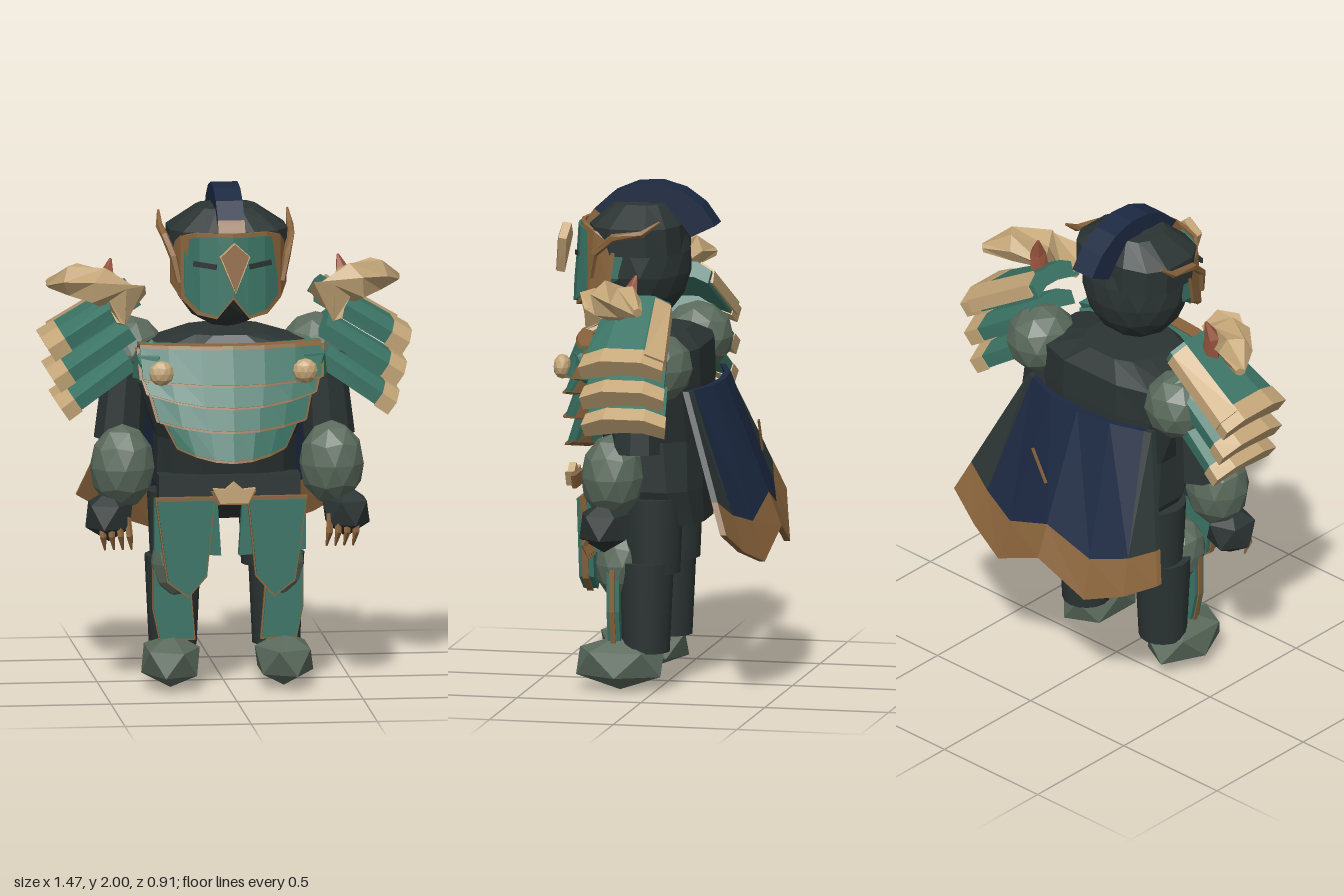
import * as THREE from 'three';

const mat = (name, color) => Object.assign(new THREE.MeshStandardMaterial({ color }), { name });

// Closed skin through rings of [x,y,z] points, capped at both ends, wound outward
function loft(rings) {
  const tris = [], n = rings[0].length;
  for (let i = 0; i + 1 < rings.length; i++) for (let j = 0; j < n; j++) {
    const k = (j + 1) % n, a = rings[i], b = rings[i + 1];
    tris.push([a[j], a[k], b[k]], [a[j], b[k], b[j]]);
  }
  const first = rings[0], last = rings[rings.length - 1];
  for (let j = 1; j + 1 < n; j++) tris.push([first[0], first[j + 1], first[j]], [last[0], last[j], last[j + 1]]);
  let volume = 0;
  for (const [a, b, c] of tris) volume += new THREE.Vector3(...a).dot(new THREE.Vector3(...b).cross(new THREE.Vector3(...c)));
  if (volume < 0) tris.forEach(t => t.reverse());
  const g = new THREE.BufferGeometry();
  g.setAttribute('position', new THREE.Float32BufferAttribute(tris.flat(2), 3));
  return g;
}

// Sheet from stations [xTop,yTop,zTop, xBottom,yBottom,zBottom]
const sheet = (stations, t) => loft(stations.map(([a, b, c, d, e, f]) => [[a, b, c], [d, e, f], [d, e, f - t], [a, b, c - t]]));
// Extends half a row of stations, starting at x = 0, to the other side
const sym = h => [...h.slice(1).reverse().map(([a, b, c, d, e, f]) => [-a, b, c, -d, e, f]), ...h];

// Horizontal ring with rounded corners
const ring = (y, rx, z0, z1, n = 12, p = 0.7) => Array.from({ length: n }, (_, i) => {
  const a = (i + 0.5) / n * Math.PI * 2, f = v => Math.sign(v) * Math.abs(v) ** p;
  return [rx * f(Math.cos(a)), y, (z0 + z1) / 2 + (z1 - z0) / 2 * f(Math.sin(a))];
});

// Tapered horn along points [x,y,z,radius]
function horn(pts, n = 5) {
  const v = pts.map(p => new THREE.Vector3(p[0], p[1], p[2]));
  return loft(v.map((p, i) => {
    const t = v[Math.min(i + 1, v.length - 1)].clone().sub(v[Math.max(i - 1, 0)]).normalize();
    const q = new THREE.Quaternion().setFromUnitVectors(new THREE.Vector3(0, 0, 1), t);
    return Array.from({ length: n }, (_, j) => {
      const a = j / n * Math.PI * 2, r = pts[i][3];
      return new THREE.Vector3(Math.cos(a) * r, Math.sin(a) * r, 0).applyQuaternion(q).add(p).toArray();
    });
  }));
}

// Faceted ball with one corner pointing straight down
const ball = (r, c, detail) => new THREE.IcosahedronGeometry(1, detail).rotateZ(0.5536).scale(...r).translate(...c);
const plate = (pts, z, depth) => new THREE.ExtrudeGeometry(
  new THREE.Shape(pts.map(p => new THREE.Vector2(...p))), { depth, bevelEnabled: false }).translate(0, 0, z);

export function createModel() {
  const model = new THREE.Group();
  model.name = 'armouredWarrior';
  const teal = mat('teal armour', 0x3b7465), dark = mat('dark cloth', 0x2b3433), stone = mat('grey green', 0x5a6a5c);
  const bronze = mat('bronze trim', 0x8a643c), bone = mat('bone', 0xc4a678), navy = mat('navy', 0x1c2942), red = mat('rust red', 0x96523c);

  const add = (name, geo, material, smooth = false) => {
    const g = geo.index && !smooth ? geo.toNonIndexed() : geo;
    if (!smooth) g.computeVertexNormals();
    const mesh = new THREE.Mesh(g, material);
    mesh.name = name;
    model.add(mesh);
  };
  // Adds a part at +x and its mirror image at -x
  const pair = (name, geo, material, smooth = false) => {
    const g = geo.index ? geo.toNonIndexed() : geo, m = g.clone().scale(-1, 1, 1);
    for (const key of Object.keys(m.attributes)) {
      const at = m.attributes[key], s = at.itemSize;
      for (let i = 0; i < at.array.length; i += 3 * s) for (let k = 0; k < s; k++) {
        const u = i + s + k, w = i + 2 * s + k, h = at.array[u];
        at.array[u] = at.array[w];
        at.array[w] = h;
      }
    }
    add(name + 'Left', g, material, smooth);
    add(name + 'Right', m, material, smooth);
  };
  // Plate with a slightly larger trim plate inside it
  const trimmedPair = (name, pts, z, depth, grow) => {
    const cx = pts.reduce((s, p) => s + p[0], 0) / pts.length, cy = pts.reduce((s, p) => s + p[1], 0) / pts.length;
    pair(name + 'Trim', plate(pts.map(([x, y]) => [cx + (x - cx) * grow, cy + (y - cy) * grow]), z + depth * 0.35, depth * 0.4), bronze);
    pair(name, plate(pts, z, depth), teal);
  };

  // Torso and hips
  add('torso', loft([ring(0.66, 0.22, -0.165, 0.08), ring(0.8, 0.28, -0.165, 0.2), ring(1.0, 0.28, -0.165, 0.25),
    ring(1.22, 0.36, -0.165, 0.29), ring(1.36, 0.36, -0.16, 0.28), ring(1.42, 0.17, -0.09, 0.24)]), dark);

  // Layered breastplate: top, bottom, half width, centre dip, taper
  [[1.39, 1.26, 0.36, 0.02, 0.02], [1.3, 1.2, 0.355, 0.05, 0.08], [1.22, 1.09, 0.32, 0.035, 0.1], [1.12, 0.98, 0.28, 0.045, 0.25]].forEach(([y1, y0, w, dip, taper], i) => {
    const band = (a, b, dz, grow = 1) => sym([0, 0.35, 0.7, 1].map(u => {
      const low = y0 - dip * (1 - u * u), z = 0.405 - 0.075 * u * u + dz, d = y1 - low, x = u * w * grow;
      return [x * (1 - taper * a), y1 - d * a, z - 0.06 * (1 - a), x * (1 - taper * b), y1 - d * b, z - 0.06 * (1 - b)];
    }));
    add('breastBand', sheet(band(0, 0.95, 0), 0.1), teal);
    add('breastRim', sheet(band(0.95, 1, 0.008), 0.1), bronze);
    add('breastSideTrim', sheet(band(0.1, 1, -0.02, 1.035), 0.04), bronze);
    if (i === 0) add('collarRim', sheet(band(-0.04, 0.06, 0.006), 0.06), bronze);
  });
  pair('chestStud', ball([0.05, 0.05, 0.035], [0.285, 1.295, 0.365], 1), bone);
  pair('collarKnob', ball([0.085, 0.105, 0.095], [0.31, 1.305, 0.235], 0), teal);

  // Head, helmet and crest
  add('head', ball([0.225, 0.25, 0.2], [0, 1.685, 0.11], 2), dark);
  add('helmet', loft([ring(1.73, 0.235, -0.075, 0.3), ring(1.84, 0.24, -0.07, 0.3), ring(1.92, 0.12, 0, 0.21)]), dark);
  const arc = (d0, d1) => loft(Array.from({ length: 7 }, (_, i) => {
    const a = THREE.MathUtils.degToRad(d0 + (d1 - d0) * i / 6);
    return [[-0.053, 0.29], [0.053, 0.29], [0.053, 0.18], [-0.053, 0.18]].map(([x, r]) => [x, 1.71 + r * Math.sin(a), 0.06 + r * Math.cos(a)]);
  }));
  add('crest', arc(38, 154), navy);
  add('crestFoot', arc(23, 38), bronze);

  // Face mask with frame, eyes, nose guard and cheek hooks
  const face = [[0, 1.83, 1.6, 0.38], [0.06, 1.83, 1.52, 0.37], [0.13, 1.83, 1.535, 0.345], [0.185, 1.81, 1.59, 0.29], [0.215, 1.76, 1.64, 0.21]];
  const mask = (gx, gy, dz) => sym(face.map(([x, t, b, z]) => [x * gx, t + gy, z + dz - 0.02, x * gx, b - gy, z + dz]));
  add('maskFrame', sheet(mask(1.07, 0.014, -0.012), 0.016), bronze);
  add('mask', sheet(mask(1, 0, 0), 0.06), teal);
  pair('eyeSlit', new THREE.BoxGeometry(0.095, 0.02, 0.009).rotateZ(0.12).rotateY(0.34).translate(0.11, 1.72, 0.343), dark);
  const nose = g => [[0, 1.82 + g], [0.06 + g, 1.765], [0.03 + g, 1.69], [0, 1.62 - g], [-0.03 - g, 1.69], [-0.06 - g, 1.765]];
  const tilt = g => g.translate(0, -1.72, -0.405).rotateX(-0.14).translate(0, 1.72, 0.42);
  add('noseGuard', tilt(plate(nose(0), 0.39, 0.033)), bone);
  add('noseGuardFace', tilt(plate(nose(-0.005), 0.42, 0.006)), bronze);
  pair('cheekHook', horn([[0.205, 1.64, 0.27, 0.012], [0.225, 1.74, 0.25, 0.016], [0.25, 1.81, 0.17, 0.016], [0.258, 1.83, 0.05, 0.015], [0.255, 1.88, -0.02, 0.005]]), bronze);

  // Arms, hands and claws
  pair('shoulder', ball([0.14, 0.14, 0.145], [0.37, 1.32, -0.035], 1), stone);
  pair('upperArm', new THREE.CylinderGeometry(0.085, 0.1, 0.32, 8).rotateZ(0.08).translate(0.405, 1.14, 0.04), dark);
  pair('forearm', ball([0.13, 0.17, 0.125], [0.415, 0.885, 0.135], 1), stone);
  pair('hand', ball([0.105, 0.105, 0.11], [0.47, 0.695, 0.155], 0), dark);
  for (let i = 0; i < 4; i++) {
    const x = 0.39 + i * 0.035;
    pair('claw', horn([[x + 0.01, 0.69, 0.2, 0.013], [x + 0.006, 0.62, 0.23, 0.013], [x - 0.004, 0.565, 0.21, 0.004]], 4), bronze);
  }

  // Shoulder guards: three arched slabs with bone tips
  const slab = ([ax, ay], [bx, by], t0, t1, zs) => {
    const len = Math.hypot(bx - ax, by - ay), nx = (ay - by) / len, ny = (bx - ax) / len;
    return loft([t0, t1].map(t => {
      const w = 0.75 + 0.25 * t;
      return zs.map(([z, h]) => [ax + (bx - ax) * t + nx * h, ay + (by - ay) * t + ny * h, 0.03 + (z - 0.03) * w]);
    }));
  };
  const arch = [[-0.13, 0], [-0.05, 0.035], [0.11, 0.035], [0.2, 0], [0.19, -0.055], [0.1, -0.03], [-0.04, -0.03], [-0.12, -0.055]];
  [[[0.37, 1.58], [0.71, 1.375]], [[0.39, 1.44], [0.69, 1.25]], [[0.39, 1.32], [0.66, 1.135]]].forEach(([a, b]) => {
    pair('shoulderPlate', slab(a, b, 0, 0.84, arch), teal);
    pair('shoulderTip', slab(a, b, 0.82, 1.02, arch.map(([z, h]) => [z * 1.03, h * 1.1])), bone);
  });
  pair('shoulderRearRim', slab([0.37, 1.58], [0.71, 1.375], 0.05, 0.9, [[-0.138, 0.008], [-0.06, 0.045], [-0.06, -0.03], [-0.138, -0.045]]), bone);
  pair('shoulderHorn', horn([[0.43, 1.47, 0.22, 0.02], [0.4, 1.57, 0.19, 0.09], [0.49, 1.6, 0.13, 0.085], [0.6, 1.62, 0.04, 0.068], [0.69, 1.595, -0.03, 0.02]], 6), bone);
  pair('shoulderSpike', horn([[0.46, 1.54, 0.05, 0.04], [0.47, 1.63, 0.05, 0.034], [0.45, 1.7, 0.03, 0.005]]), red);

  // Legs and feet
  pair('thigh', new THREE.CylinderGeometry(0.125, 0.112, 0.3, 16).translate(0.18, 0.62, 0.025), dark, true);
  pair('shin', new THREE.CylinderGeometry(0.112, 0.095, 0.36, 16).translate(0.205, 0.335, 0.045), dark, true);
  pair('knee', ball([0.1, 0.14, 0.1], [0.205, 0.5, 0.15], 1), stone);
  trimmedPair('shinGuard', [[0.135, 0.2], [0.27, 0.2], [0.295, 0.32], [0.295, 0.48], [0.16, 0.5]], 0.135, 0.05, 1.07);
  pair('foot', ball([0.13, 0.11, 0.2], [0.225, 0.11, 0.145], 0), stone);

  // Hip plates and buckle
  pair('hipPlate', plate([[0.035, 0.54], [0.3, 0.56], [0.3, 0.77], [0.05, 0.77]], 0.21, 0.04), teal);
  trimmedPair('thighGuard', [[0.07, 0.77], [0.295, 0.77], [0.25, 0.45], [0.17, 0.39], [0.1, 0.47]], 0.245, 0.06, 1.06);
  add('belt', new THREE.BoxGeometry(0.56, 0.1, 0.1).translate(0, 0.81, 0.19), dark);
  add('buckleBack', plate([[-0.06, 0.765], [0.06, 0.765], [0.09, 0.82], [-0.09, 0.82]], 0.36, 0.015), bronze);
  add('buckle', plate([[-0.055, 0.775], [0.055, 0.775], [0.085, 0.835], [0.035, 0.83], [0, 0.86], [-0.035, 0.83], [-0.085, 0.835]], 0.372, 0.028), bone);

  // Cape with dark wedges at the sides, a scalloped hem and a loose strip behind
  const cape = [[0, 1.22, -0.205, 0, 0.64, -0.432], [0.16, 1.22, -0.19, 0.23, 0.535, -0.415],
    [0.3, 1.22, -0.142, 0.4, 0.6, -0.37], [0.33, 1.22, -0.13, 0.545, 0.69, -0.33]];
  const cut = (s, t0, t1) => s.map(p => [t0, t1].flatMap(t => [0, 1, 2].map(k => p[k] + (p[k + 3] - p[k]) * t)));
  add('capeCentre', sheet(sym(cut(cape.slice(0, 3), 0, 0.77)), 0.025), navy);
  pair('capeSide', sheet(cut(cape.slice(2), 0, 0.77), 0.025), dark);
  add('capeHem', sheet(sym(cut(cape, 0.77, 1)), 0.025), bronze);
  add('capeStrip', new THREE.BoxGeometry(0.01, 0.15, 0.008).rotateZ(-0.5).translate(0.06, 1.01, -0.385), bronze);

  return model;
}
